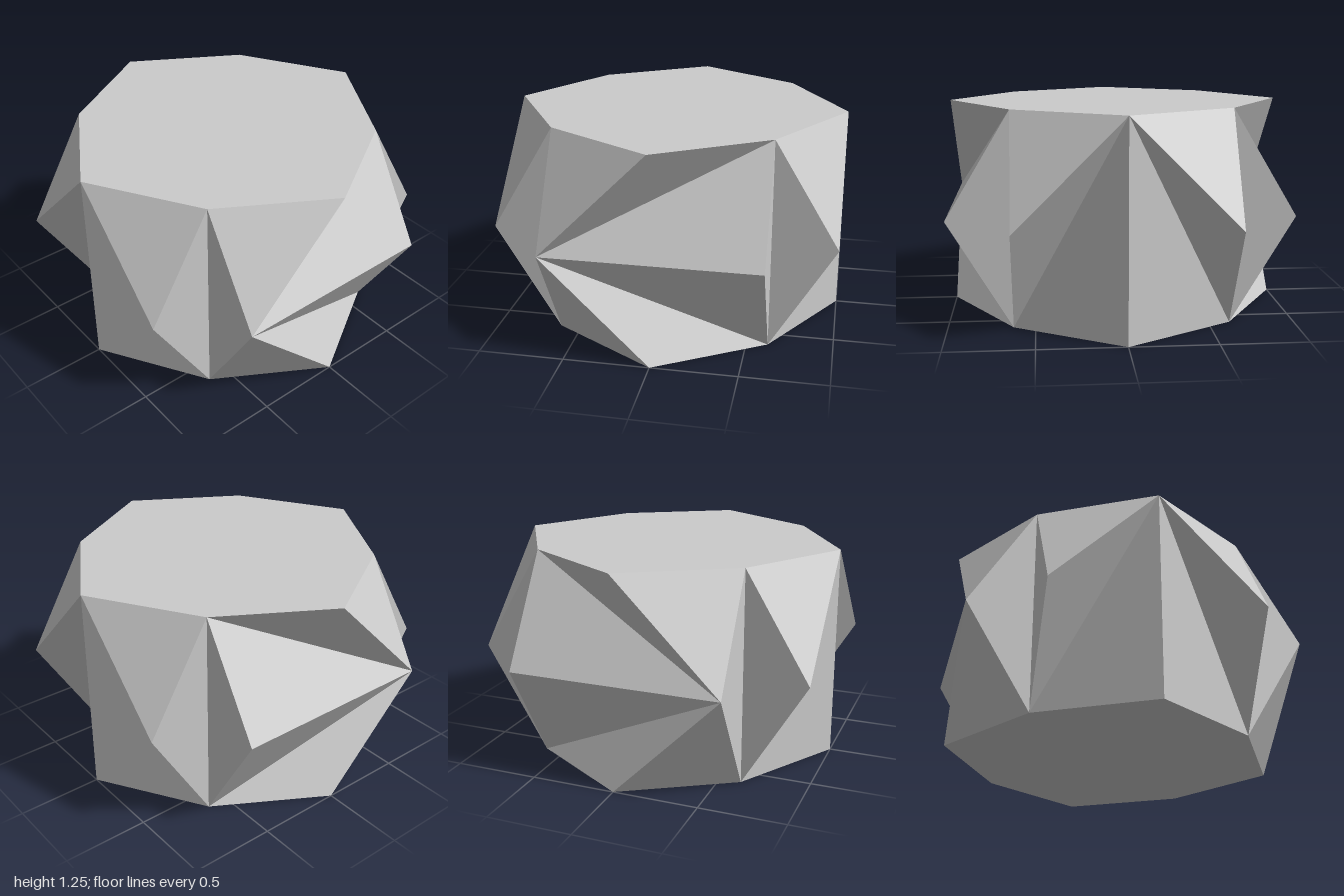
import * as THREE from 'three';

const A = 0.625; // half height, and half width between the sunken corners
const material = new THREE.MeshStandardMaterial({ color: 0xcccccc, flatShading: true });

// Eight rim points of a side panel, anticlockwise: edge midpoints stand out, corners sink in
const RIM = [
  [A, 0, 1], [A, A, A], [0, A, 1], [-A, A, A],
  [-A, 0, 1], [-A, -A, A], [0, -A, 1], [A, -A, A],
];

// Faceted side panel, folded as a fan from one rim point, with a cheek at each end
function sidePanel(apex) {
  const triangles = [[0, 7, 1], [4, 3, 5]];
  for (let i = 1; i < 7; i++) triangles.push([apex, (apex + i) % 8, (apex + i + 1) % 8]);
  const geometry = new THREE.BufferGeometry();
  const positions = triangles.flat().flatMap((i) => RIM[i]);
  geometry.setAttribute('position', new THREE.Float32BufferAttribute(positions, 3));
  geometry.computeVertexNormals();
  return geometry;
}

// Flat octagonal lid with its points alternating between midpoints and corners
function lid() {
  const points = [];
  for (let i = 0; i < 8; i++) {
    const r = i % 2 ? A * Math.SQRT2 : 1;
    points.push(new THREE.Vector2(r * Math.cos(i * Math.PI / 4), r * Math.sin(i * Math.PI / 4)));
  }
  return new THREE.ShapeGeometry(new THREE.Shape(points));
}

export function createModel() {
  const group = new THREE.Group();
  group.name = 'facetedBlock';
  const add = (name, geometry) => {
    const mesh = new THREE.Mesh(geometry, material);
    mesh.name = name;
    mesh.position.y = A;
    group.add(mesh);
    return mesh;
  };

  // Four sides, each with its own fold point and turn about y
  const sides = [['frontPanel', 4, 0], ['leftPanel', 2, 1], ['backPanel', 0, 2], ['rightPanel', 2, 3]];
  for (const [name, apex, quarter] of sides) {
    add(name, sidePanel(apex)).rotation.y = quarter * Math.PI / 2;
  }

  // Top and bottom lids
  add('topLid', lid().rotateX(-Math.PI / 2).translate(0, A, 0));
  add('bottomLid', lid().rotateX(Math.PI / 2).translate(0, -A, 0));
  return group;
}
